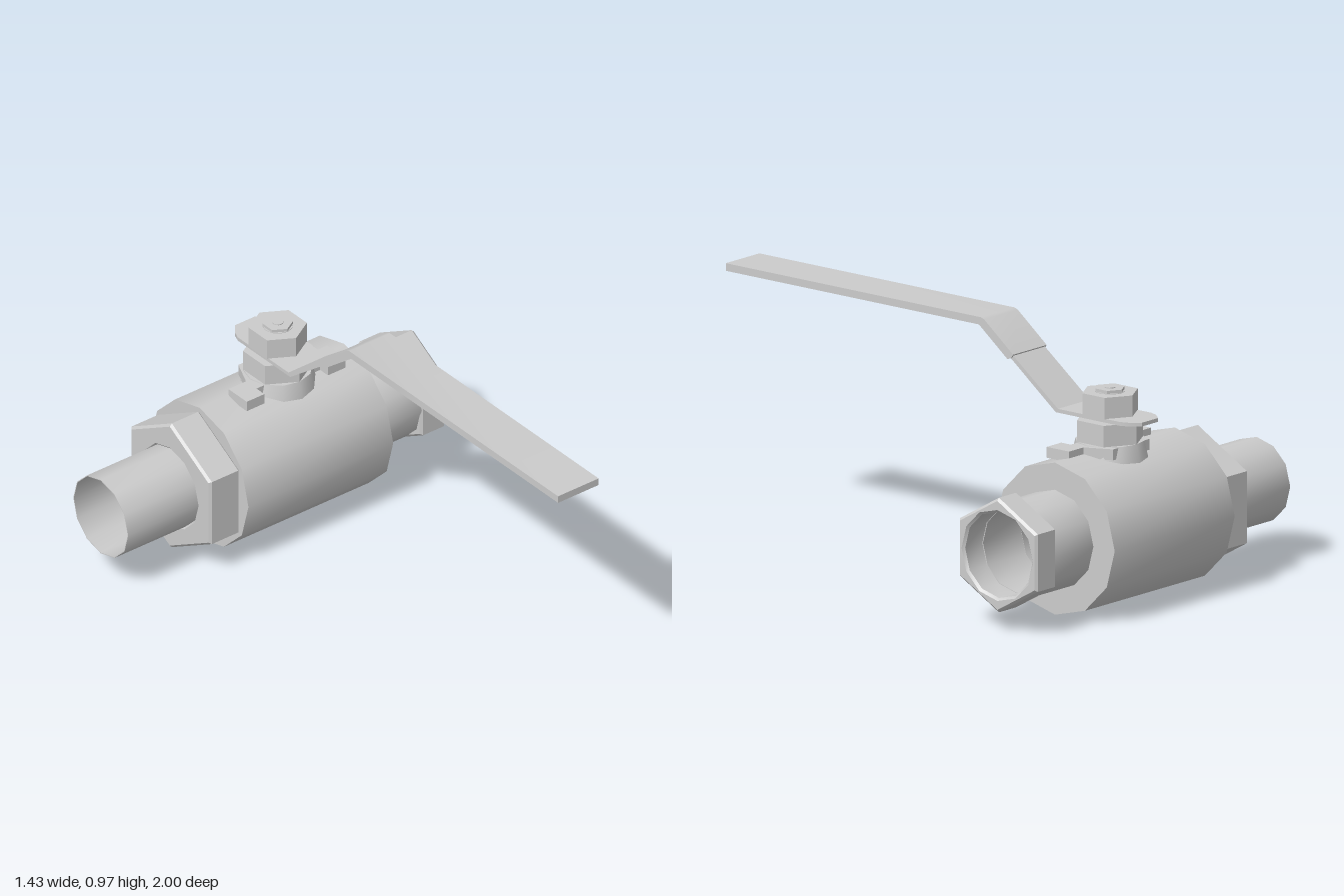
import * as THREE from 'three';
import { toCreasedNormals } from 'three/addons/utils/BufferGeometryUtils.js';

const AXIS_Y = 0.28, AXIS_Z = -0.72; // flow axis, parallel to x
const STEM_X = 0.092;                // stem axis, vertical

export function createModel() {
  const valve = new THREE.Group();
  valve.name = 'ballValve';
  const material = new THREE.MeshStandardMaterial({ color: 0xcccccc, side: THREE.DoubleSide });

  function add(name, geometry, x, y, z) {
    const mesh = new THREE.Mesh(toCreasedNormals(geometry, 0.7), material);
    mesh.name = name;
    mesh.position.set(x, y, z);
    valve.add(mesh);
    return mesh;
  }

  // Twelve-sided hollow section along the flow axis
  function tube(name, x0, x1, outer, inner, chamfer = 0) {
    const profile = [
      [inner, x0], [outer - chamfer, x0], [outer, x0 + chamfer],
      [outer, x1 - chamfer], [outer - chamfer, x1], [inner, x1], [inner, x0],
    ].filter((p, i, a) => i === 0 || p[0] !== a[i - 1][0] || p[1] !== a[i - 1][1]);
    const g = new THREE.LatheGeometry(profile.map(p => new THREE.Vector2(...p)), 12);
    g.rotateZ(-Math.PI / 2);
    add(name, g, 0, AXIS_Y, AXIS_Z);
  }

  function ring(radius, sides) {
    return Array.from({ length: sides }, (_, i) => {
      const a = Math.PI / 2 + i * 2 * Math.PI / sides;
      return new THREE.Vector2(radius * Math.cos(a), radius * Math.sin(a));
    });
  }

  // Bored hexagonal collar with chamfered edges
  function hexCollar(name, x0, x1, radius, bore) {
    const b = 0.009;
    const shape = new THREE.Shape(ring(radius, 6));
    shape.holes.push(new THREE.Path(ring(bore, 12)));
    const g = new THREE.ExtrudeGeometry(shape, {
      depth: x1 - x0 - 2 * b, bevelEnabled: true, bevelSegments: 1,
      bevelSize: b, bevelThickness: b, bevelOffset: -b,
    });
    g.translate(0, 0, b);
    g.rotateY(Math.PI / 2);
    add(name, g, x0, AXIS_Y, AXIS_Z);
  }

  // Body and end connections
  tube('body', -0.265, 0.395, 0.28, 0.157);
  tube('leftPipe', -0.715, -0.26, 0.157, 0.154);
  tube('rightPipe', 0.39, 0.605, 0.18, 0.158);
  hexCollar('bodyHex', -0.4, -0.262, 0.265, 0.155);
  hexCollar('rightEndHex', 0.6, 0.712, 0.211, 0.158);

  // Flat outline in x and z, extruded upwards; outline y is model -z
  function plate(name, points, y0, height, x) {
    const g = new THREE.ExtrudeGeometry(new THREE.Shape(points.map(p => new THREE.Vector2(...p))),
      { depth: height, bevelEnabled: false });
    g.rotateX(-Math.PI / 2);
    return add(name, g, x, y0, AXIS_Z);
  }

  // Upright prism on the stem axis
  function prism(name, y0, y1, top, bottom, sides) {
    add(name, new THREE.CylinderGeometry(top, bottom, y1 - y0, sides), STEM_X, (y0 + y1) / 2, AXIS_Z);
  }

  // Stem boss with the two stop lugs
  prism('stemBoss', 0.5, 0.588, 0.125, 0.145, 12);
  for (const s of [-1, 1]) {
    plate(s < 0 ? 'rightStopLug' : 'leftStopLug', [
      [0, 0.1], [0.1 * s, 0.1], [0.145 * s, 0], [0.225 * s, 0], [0.225 * s, -0.105],
      [0.145 * s, -0.105], [0.145 * s, -0.06], [0.1 * s, -0.06], [0, -0.06],
    ], 0.545, 0.04, STEM_X);
  }

  // Gland nut, lever nut and stem tip
  prism('glandNut', 0.585, 0.667, 0.125, 0.125, 6);
  prism('stem', 0.66, 0.767, 0.055, 0.055, 12);
  prism('leverNut', 0.685, 0.765, 0.105, 0.105, 6);
  prism('stemTip', 0.76, 0.778, 0.055, 0.055, 6);
  prism('stemCentre', 0.77, 0.781, 0.02, 0.02, 12);

  // Side outline in z and y, extruded across x
  function strip(name, points, width) {
    const g = new THREE.ExtrudeGeometry(new THREE.Shape(points.map(p => new THREE.Vector2(...p))),
      { depth: width, bevelEnabled: false });
    g.translate(0, 0, -width / 2);
    g.rotateY(-Math.PI / 2);
    add(name, g, STEM_X, 0, 0);
  }

  // Lever: round-ended seat, sloping neck, long thicker grip
  const w = 0.087;
  plate('leverSeat', [
    [-w, -0.175], [w, -0.175], [w, 0.12], [0.075, 0.152], [0.045, 0.187],
    [-0.045, 0.187], [-0.075, 0.152], [-w, 0.12],
  ], 0.673, 0.014, STEM_X);
  strip('leverNeck', [
    [-0.55, 0.673], [-0.54, 0.673], [-0.305, 0.856], [-0.315, 0.868], [-0.55, 0.687],
  ], 2 * w);
  strip('leverGrip', [
    [-0.335, 0.838], [-0.318, 0.833], [-0.185, 0.938], [1, 0.938], [1, 0.966],
    [-0.195, 0.966], [-0.21, 0.96], [-0.345, 0.853],
  ], 0.185);

  return valve;
}
